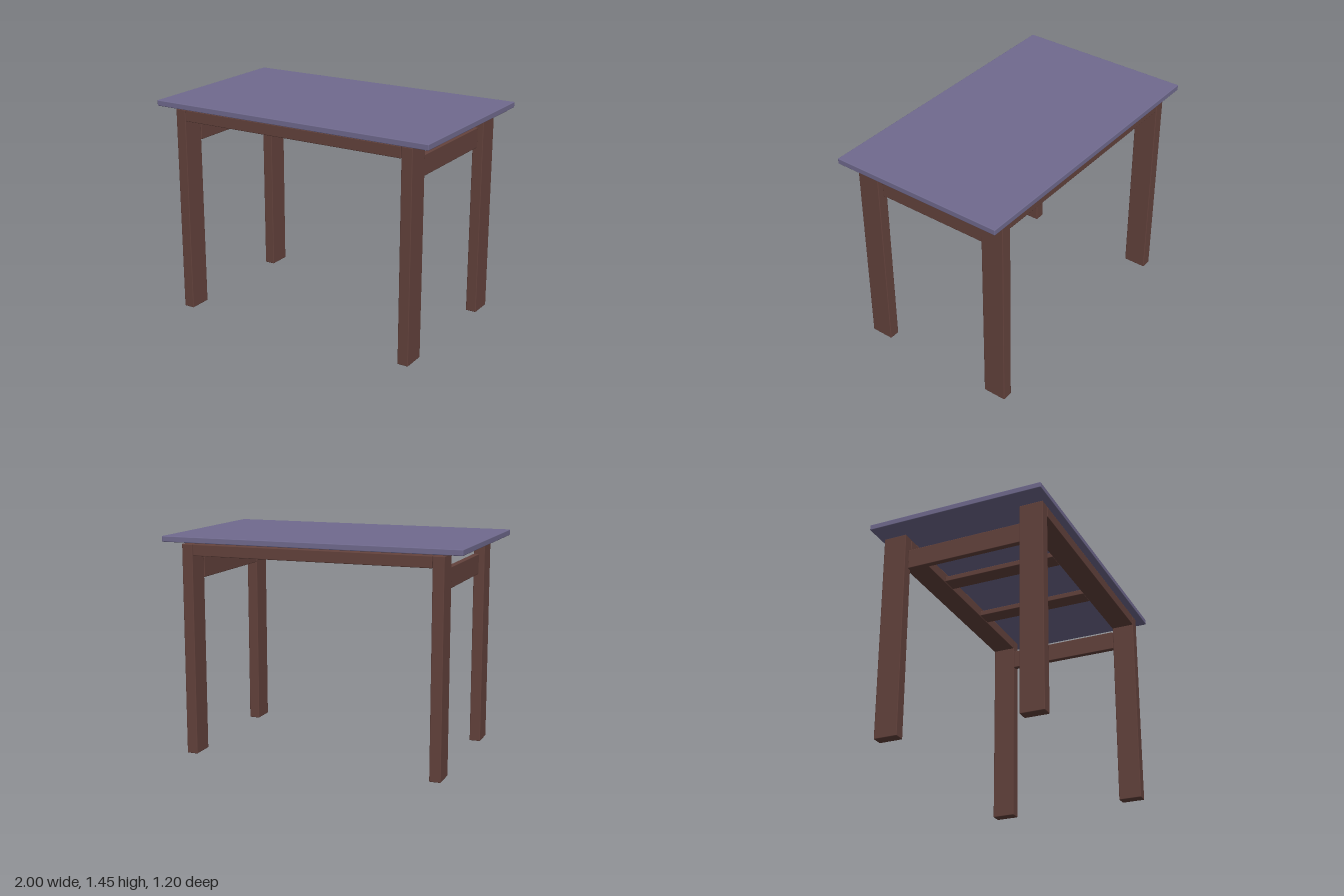
import * as THREE from 'three';
import { RoundedBoxGeometry } from 'three/addons/geometries/RoundedBoxGeometry.js';

export function createModel() {
  const table = new THREE.Group();
  table.name = 'table';
  const wood = new THREE.MeshStandardMaterial({ color: 0x63423c });
  const paint = new THREE.MeshStandardMaterial({ color: 0x706a8e });

  // Board with slightly eased edges, given by its extents on each axis
  function board(name, [x0, x1], [y0, y1], [z0, z1], material = wood) {
    const geometry = new RoundedBoxGeometry(x1 - x0, y1 - y0, z1 - z0, 2, 0.005);
    const mesh = new THREE.Mesh(geometry, material);
    mesh.name = name;
    mesh.position.set((x0 + x1) / 2, (y0 + y1) / 2, (z0 + z1) / 2);
    table.add(mesh);
  }
  // Extents mirrored to the negative side when s is -1
  const side = (s, a, b) => (s > 0 ? [a, b] : [-b, -a]);

  // Table top, floating just above the frame
  board('tableTop', [-1, 1], [1.412, 1.45], [-0.6, 0.6], paint);

  for (const s of [1, -1]) {
    const end = s > 0 ? 'left' : 'right';
    const face = s > 0 ? 'front' : 'back';

    // Legs at this end
    for (const t of [1, -1]) {
      board(end + (t > 0 ? 'Front' : 'Back') + 'Leg', side(s, 0.803, 0.877), [0, 1.4], side(t, 0.402, 0.56));
    }
    // Long rail lying flat between the legs
    board(face + 'Rail', [-0.8, 0.8], [1.325, 1.4], side(s, 0.402, 0.56));
    // Upright apron across the end
    board(end + 'Apron', side(s, 0.802, 0.84), [1.165, 1.3], [-0.4, 0.4]);
    // Flat cross bar under the top
    board(end + 'CrossBar', side(s, 0.215, 0.335), [1.327, 1.365], [-0.4, 0.4]);
  }
  return table;
}
